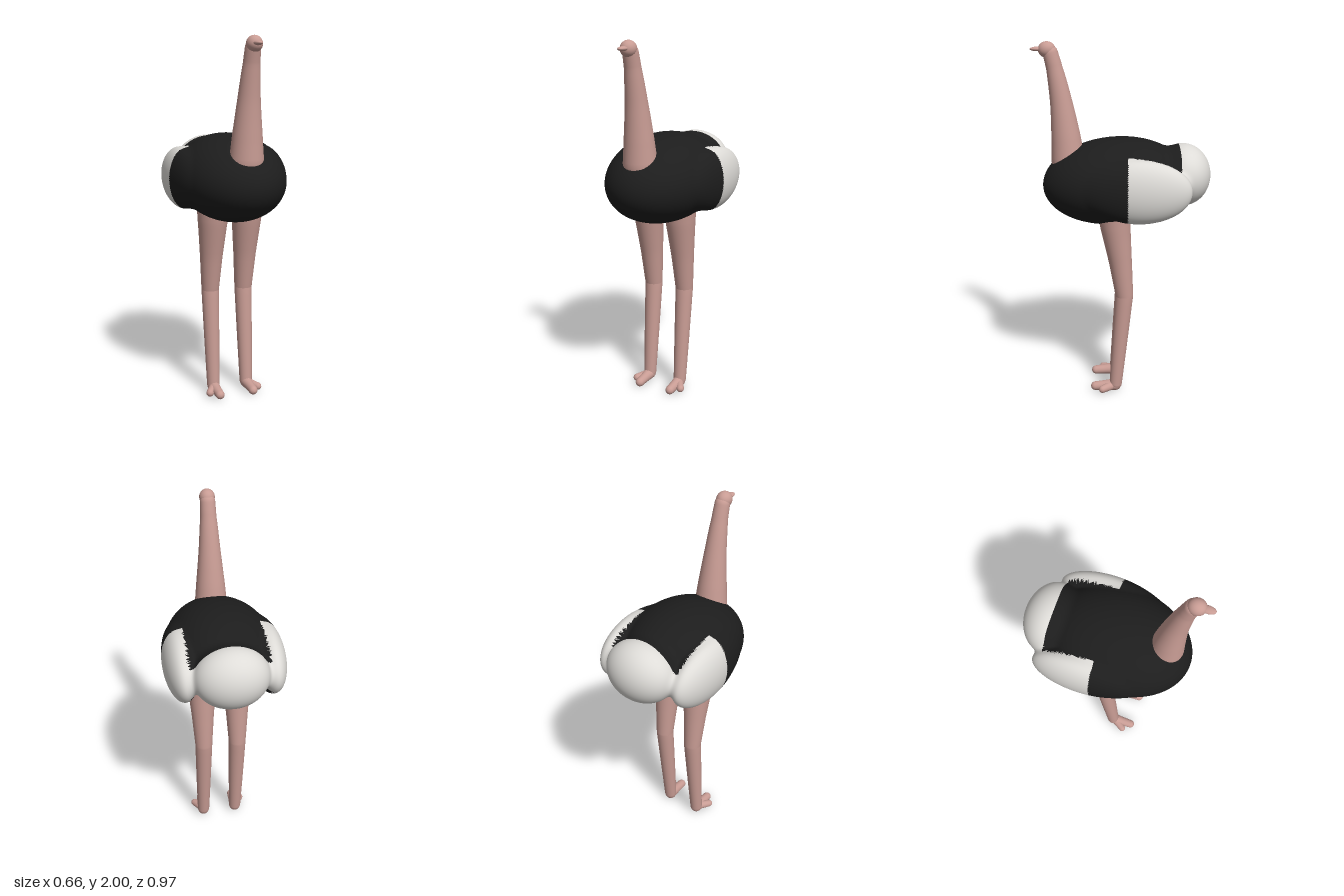
import * as THREE from 'three';
import { mergeVertices } from 'three/addons/utils/BufferGeometryUtils.js';

const skin = new THREE.MeshStandardMaterial({ name: 'pinkSkin', color: 0xc89c94 });
const black = new THREE.MeshStandardMaterial({ name: 'blackFeathers', color: 0x1d1d1d });
const white = new THREE.MeshStandardMaterial({ name: 'whiteFeathers', color: 0xdedcd8 });

// Limb with round ends through points [x, y, z, radius]
function limb(name, points, perSpan = 6, sides = 32) {
  const path = new THREE.CatmullRomCurve3(points.map(p => new THREE.Vector3(p[0], p[1], p[2])), false, 'centripetal');
  const spans = points.length - 1, n = spans * perSpan, rings = [];
  for (let i = 0; i <= n; i++) {
    const t = i / n, s = Math.min(Math.floor(t * spans), spans - 1);
    const r = THREE.MathUtils.lerp(points[s][3], points[s + 1][3], t * spans - s);
    rings.push({ c: path.getPoint(t), d: path.getTangent(t), r });
  }
  const cap = (ring, dir) => [0.25, 0.5, 0.7, 0.85, 0.95, 0.9999].map(h => ({
    c: ring.c.clone().addScaledVector(ring.d, dir * h * ring.r),
    d: ring.d, r: ring.r * Math.sqrt(1 - h * h)
  }));
  const all = [...cap(rings[0], -1).reverse(), ...rings, ...cap(rings[n], 1)];
  const pos = [], index = [], up = new THREE.Vector3(0, 1, 0), q = new THREE.Quaternion();
  all.forEach(({ c, d, r }, i) => {
    q.setFromUnitVectors(up, d);
    for (let j = 0; j < sides; j++) {
      const a = j / sides * Math.PI * 2;
      const v = new THREE.Vector3(Math.cos(a) * r, 0, Math.sin(a) * r).applyQuaternion(q).add(c);
      pos.push(v.x, v.y, v.z);
      if (i === all.length - 1) continue;
      const k = (j + 1) % sides, a0 = i * sides + j, a1 = i * sides + k;
      index.push(a0, a0 + sides, a1, a0 + sides, a1 + sides, a1);
    }
  });
  const g = new THREE.BufferGeometry();
  g.setAttribute('position', new THREE.Float32BufferAttribute(pos, 3));
  g.setIndex(index);
  g.computeVertexNormals();
  const mesh = new THREE.Mesh(g, skin);
  mesh.name = name;
  return mesh;
}

function ball(name, x, y, z, rx, ry, rz) {
  const mesh = new THREE.Mesh(new THREE.SphereGeometry(1, 32, 20).scale(rx, ry, rz), skin);
  mesh.position.set(x, y, z);
  mesh.name = name;
  return mesh;
}

// Approximate distance to an ellipsoid
function ellipsoid(x, y, z, rx, ry, rz) {
  const k0 = Math.hypot(x / rx, y / ry, z / rz);
  const k1 = Math.hypot(x / rx ** 2, y / ry ** 2, z / rz ** 2);
  return k0 * (k0 - 1) / Math.max(k1, 1e-6);
}
function blend(a, b, k) {
  const h = Math.max(k - Math.abs(a - b), 0) / k;
  return Math.min(a, b) - h * h * k / 4;
}

// Torso, folded wings and tail blended into one plump shape
function plumage(x, y, z) {
  const torso = ellipsoid(x, y - 1.247 + 0.06 * (z - 0.04), z - 0.04, 0.295, 0.238, 0.397);
  const wing = ellipsoid(Math.abs(x) - 0.235, y - 1.237, z + 0.09, 0.095, 0.172, 0.28);
  const tail = ellipsoid(x, y - 1.28, z + 0.335, 0.2, 0.17, 0.152);
  return blend(blend(torso, wing, 0.03), tail, 0.04);
}

function buildBody() {
  let g = new THREE.SphereGeometry(1, 180, 150).rotateX(Math.PI / 2);
  g.deleteAttribute('uv');
  g.deleteAttribute('normal');
  g = mergeVertices(g, 1e-5);
  const p = g.attributes.position, cy = 1.24, cz = -0.06, v = new THREE.Vector3();
  const field = t => plumage(v.x * t, cy + v.y * t, cz + v.z * t);
  // Push each vertex out to the blended surface
  for (let i = 0; i < p.count; i++) {
    v.fromBufferAttribute(p, i).normalize();
    let hi = 0.62;
    while (hi > 0.02 && field(hi) > 0) hi -= 0.01;
    let lo = hi;
    hi += 0.01;
    for (let s = 0; s < 14; s++) {
      const mid = (lo + hi) / 2;
      if (field(mid) > 0) hi = mid; else lo = mid;
    }
    p.setXYZ(i, v.x * lo, cy + v.y * lo, cz + v.z * lo);
  }
  // White wing rears and tail, black elsewhere
  const dark = [], light = [], idx = g.index.array;
  for (let i = 0; i < idx.length; i += 3) {
    const t = [idx[i], idx[i + 1], idx[i + 2]];
    const x = t.reduce((s, k) => s + Math.abs(p.getX(k)), 0) / 3;
    const z = t.reduce((s, k) => s + p.getZ(k), 0) / 3;
    (z < -0.315 || (x > 0.212 && z < -0.03) ? light : dark).push(...t);
  }
  g.setIndex([...dark, ...light]);
  g.addGroup(0, dark.length, 0);
  g.addGroup(dark.length, light.length, 1);
  g.computeVertexNormals();
  const mesh = new THREE.Mesh(g, [black, white]);
  mesh.name = 'bodyWingsAndTail';
  return mesh;
}

export function createModel() {
  const model = new THREE.Group();
  model.name = 'ostrich';
  model.add(buildBody());

  // Neck and head
  const head = new THREE.Group();
  head.name = 'neckAndHead';
  head.add(
    limb('neck', [[0, 1.36, 0.296, 0.092], [0, 1.5, 0.307, 0.079], [0, 1.68, 0.328, 0.06],
      [0, 1.86, 0.36, 0.044], [0, 1.94, 0.38, 0.041]]),
    ball('skull', 0, 1.957, 0.398, 0.042, 0.043, 0.047),
    ball('beak', 0, 1.96, 0.448, 0.021, 0.012, 0.04)
  );
  model.add(head);

  // Legs with a long front toe and a short outer toe
  for (const side of [1, -1]) {
    const leg = new THREE.Group(), x = side * 0.1;
    leg.name = side > 0 ? 'leftLeg' : 'rightLeg';
    leg.add(
      limb('thigh', [[x, 1.1, 0.045, 0.092], [x, 1.0, 0.036, 0.083], [x, 0.8, 0.01, 0.064], [x, 0.6, -0.012, 0.05]]),
      limb('shin', [[x, 0.6, -0.012, 0.05], [x, 0.3, 0.015, 0.043], [x, 0.045, 0.038, 0.036]]),
      limb('frontToe', [[x, 0.036, 0.04, 0.034], [x, 0.031, 0.1, 0.028], [x, 0.026, 0.158, 0.025]]),
      limb('outerToe', [[x, 0.034, 0.05, 0.028], [side * 0.145, 0.027, 0.115, 0.021]])
    );
    model.add(leg);
  }
  return model;
}
